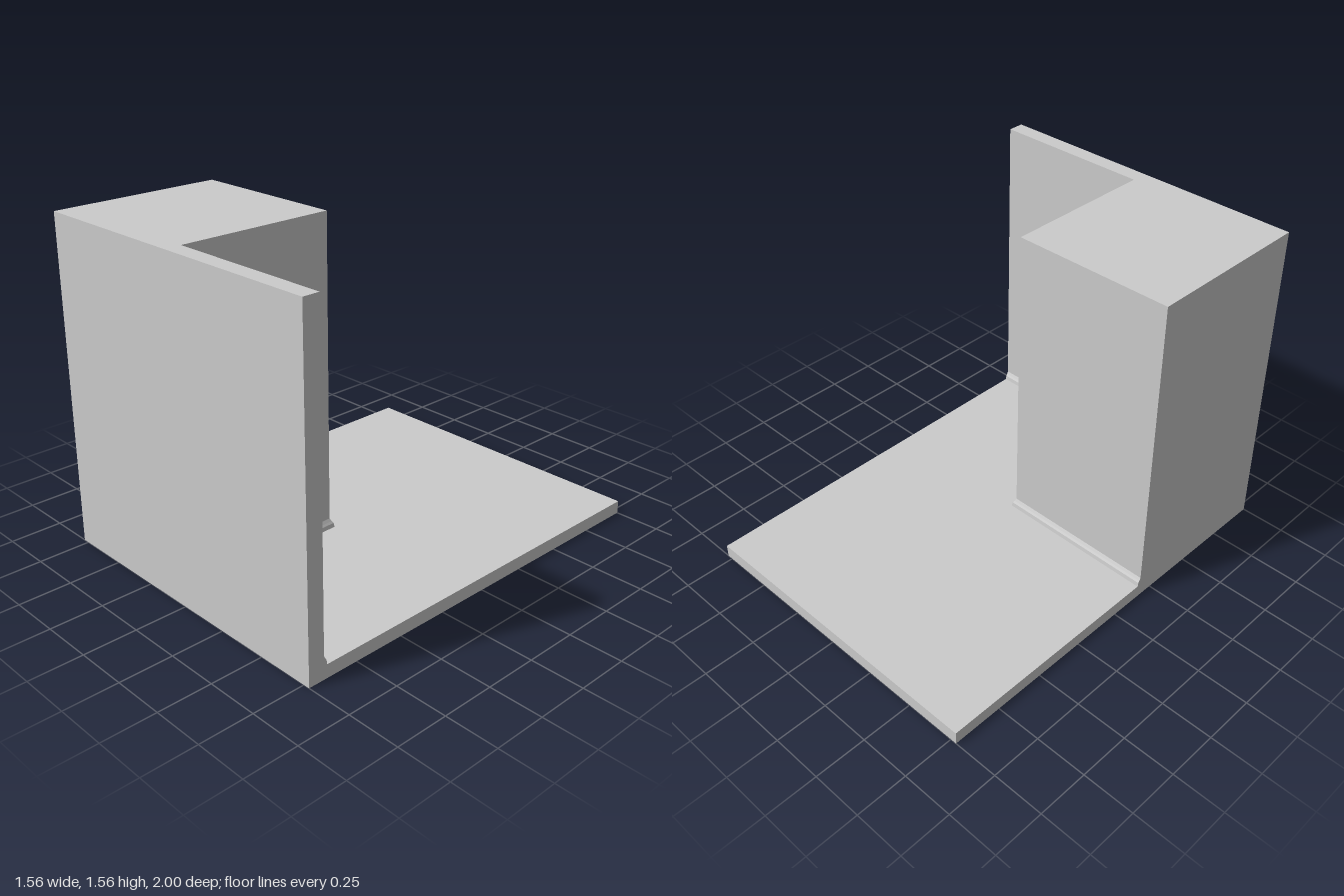
import * as THREE from 'three';

const W = 0.78, FLOOR = 0.063, TOP = 1.563, BLOCK_Z = 0.173, WALL_Z = 0.922;

const material = new THREE.MeshStandardMaterial({ color: 0xcccccc, flatShading: true });

function addPart(group, name, geometry) {
  const mesh = new THREE.Mesh(geometry, material);
  mesh.name = name;
  group.add(mesh);
}

// Sweeps a closed profile [out, y] along mitred corners [x, z, outX, outZ].
function sweepMoulding(corners, profile) {
  const n = profile.length, index = [];
  const positions = corners.flatMap(([x, z, ox, oz]) =>
    profile.flatMap(([out, y]) => [x + ox * out, y, z + oz * out]));
  for (let i = 0; i < corners.length - 1; i++) {
    for (let k = 0; k < n; k++) {
      const a = i * n + k, b = i * n + (k + 1) % n;
      index.push(a, a + n, b, b, a + n, b + n);
    }
  }
  // End caps
  const last = (corners.length - 1) * n;
  for (let k = 1; k < n - 1; k++) {
    index.push(0, k, k + 1, last, last + k + 1, last + k);
  }
  const indexed = new THREE.BufferGeometry();
  indexed.setAttribute('position', new THREE.Float32BufferAttribute(positions, 3));
  indexed.setIndex(index);
  const geometry = indexed.toNonIndexed();
  geometry.computeVertexNormals();
  return geometry;
}

export function createModel() {
  const group = new THREE.Group();
  group.name = 'roomCorner';

  // Floor slab
  addPart(group, 'floor', new THREE.BoxGeometry(2 * W, FLOOR, 2).translate(0, FLOOR / 2, 0));

  // Thin wall with the solid block projecting from one half
  const plan = new THREE.Shape(
    [[-W, 1], [W, 1], [W, WALL_Z], [0, WALL_Z], [0, BLOCK_Z], [-W, BLOCK_Z]]
      .map(([x, z]) => new THREE.Vector2(x, -z)));
  const wall = new THREE.ExtrudeGeometry(plan, { depth: TOP - FLOOR, bevelEnabled: false });
  addPart(group, 'wall', wall.rotateX(-Math.PI / 2).translate(0, FLOOR, 0));

  // Skirting board following the foot of the wall
  const corners = [
    [-W, BLOCK_Z, 0, -1],
    [0, BLOCK_Z, 1, -1],
    [0, WALL_Z, 1, -1],
    [W, WALL_Z, 0, -1],
  ];
  const profile = [[0, 0.107], [0.007, 0.093], [0.013, 0.083], [0.016, FLOOR], [0, FLOOR]];
  addPart(group, 'skirting', sweepMoulding(corners, profile));

  return group;
}
